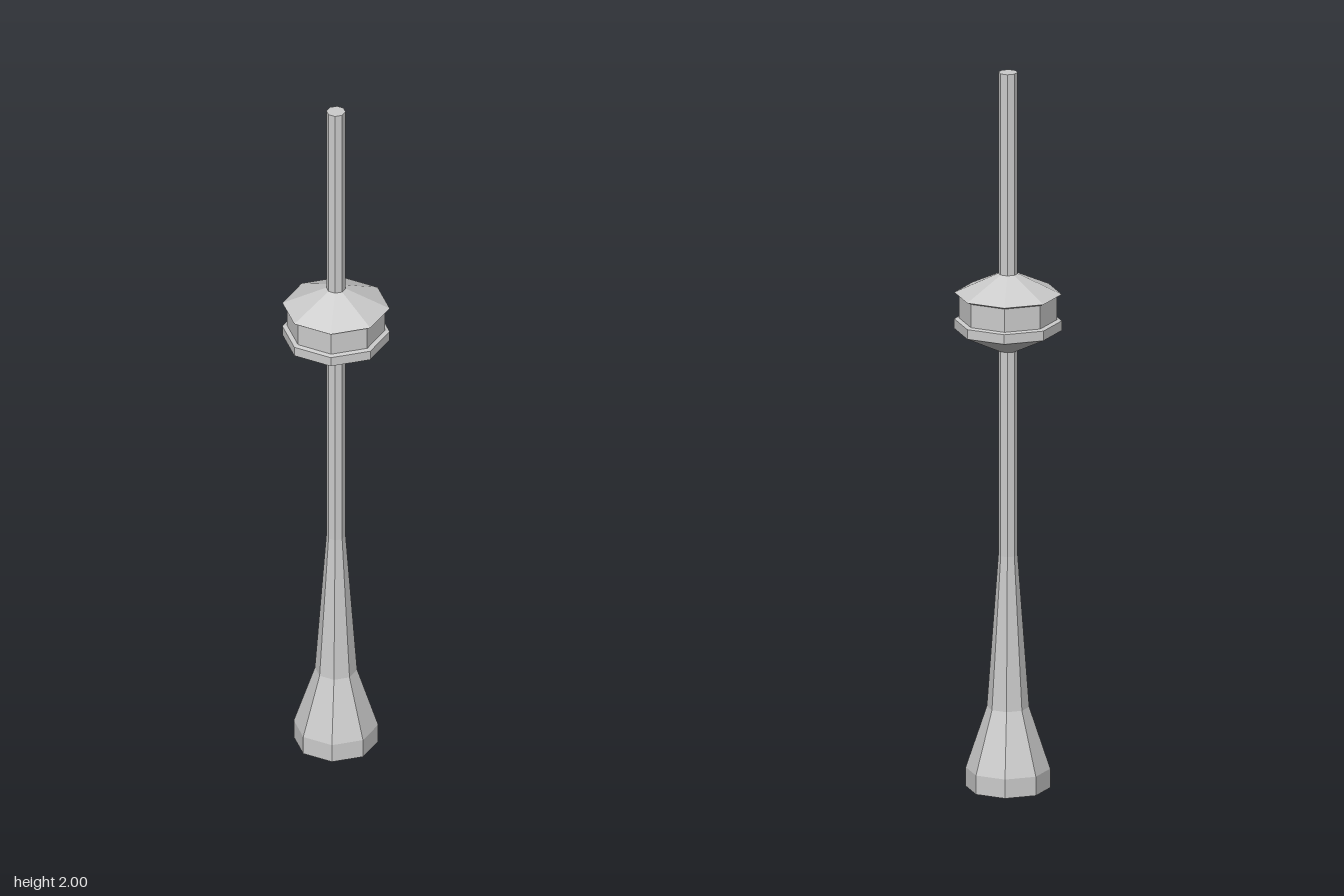
import * as THREE from 'three';

const SIDES = 8;

export function createModel() {
  const tower = new THREE.Group();
  tower.name = 'tower';

  // Turns a [radius, height] outline, listed bottom to top, into a faceted octagonal part
  function addTurned(name, outline, side = THREE.FrontSide) {
    const points = outline.map(([r, y]) => new THREE.Vector2(r, y));
    const material = new THREE.MeshStandardMaterial({ color: 0xcccccc, flatShading: true, side });
    const mesh = new THREE.Mesh(new THREE.LatheGeometry(points, SIDES), material);
    mesh.name = name;
    tower.add(mesh);
  }

  // Hollow shaft: plinth, flared foot, taper and straight column
  addTurned('shaft', [
    [0.114, 0], [0.114, 0.053], [0.057, 0.225], [0.026, 0.65], [0.026, 1.225],
  ], THREE.DoubleSide);

  // Observation pod: sloped underside, rim, recessed window band, eave and roof
  addTurned('pod', [
    [0.026, 1.222], [0.145, 1.28], [0.145, 1.307], [0.132, 1.31],
    [0.132, 1.375], [0.145, 1.381], [0.026, 1.437],
  ], THREE.DoubleSide);

  // Antenna mast with a flat cap
  addTurned('mast', [[0.026, 1.435], [0.026, 2], [0, 2]]);

  return tower;
}
